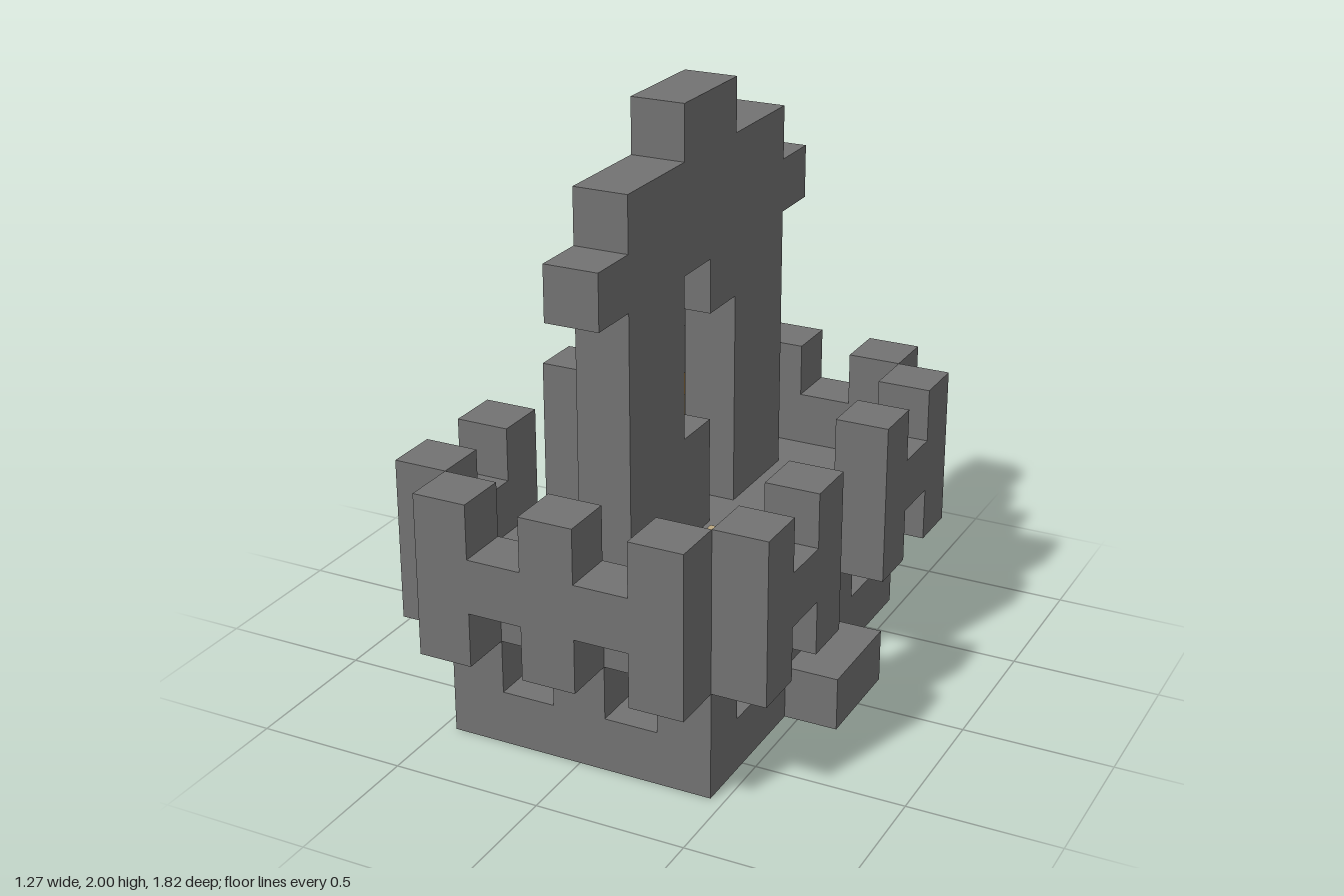
import * as THREE from 'three';

const U = 2 / 11; // one block

export function createModel() {
  const stone = new THREE.MeshStandardMaterial({ color: 0x727272 });
  stone.name = 'grey stone';
  const wood = new THREE.MeshStandardMaterial({ color: 0x906932 });
  wood.name = 'brown wood';
  const linen = new THREE.MeshStandardMaterial({ color: 0xbda983 });
  linen.name = 'tan linen';

  const model = new THREE.Group();
  model.name = 'blockFort';

  const add = (parent, name, geometry, material = stone) => {
    const mesh = new THREE.Mesh(geometry, material);
    mesh.name = name;
    parent.add(mesh);
    return mesh;
  };
  const group = (name) => {
    const g = new THREE.Group();
    g.name = name;
    model.add(g);
    return g;
  };
  // Box given by its ranges in blocks
  const box = (parent, name, [x0, x1], [y0, y1], [z0, z1], material) => {
    const mesh = add(parent, name, new THREE.BoxGeometry(x1 - x0, y1 - y0, z1 - z0), material);
    mesh.position.set((x0 + x1) / 2, (y0 + y1) / 2, (z0 + z1) / 2);
    return mesh;
  };
  // Outline extruded one block thick, centred on its plane
  const slab = (points) => {
    const shape = new THREE.Shape(points.map(([x, y]) => new THREE.Vector2(x, y)));
    return new THREE.ExtrudeGeometry(shape, { depth: 1, bevelEnabled: false }).translate(0, 0, -0.5);
  };

  // Base: bottom course, notched middle course, floor course with entrance steps
  const base = group('base');
  box(base, 'bottomCourse', [-2.5, 2.5], [0, 1], [-4, 4]);
  box(base, 'middleCore', [-1.5, 1.5], [1, 2], [-3, 3]);
  box(base, 'floor', [-1.5, 1.5], [2, 3], [-4, 4]);
  for (const s of [-1, 1]) {
    const span = (a, b) => (s > 0 ? [a, b] : [-b, -a]);
    box(base, 'endPier', [-0.5, 0.5], [1, 2], span(3, 4));
    box(base, 'sidePier', span(1.5, 2.5), [1, 2], [-2, 2]);
    box(base, 'entranceStep', span(2.5, 3.5), [0, 1], [-1, 1]);
    for (const z of [[-4, -3], [3, 4]]) box(base, 'cornerPier', span(1.5, 2.5), [1, 2], z);
    for (const z of [[-4, -1], [1, 4]]) box(base, 'floorSide', span(1.5, 2.5), [2, 3], z);
  }

  // Overhanging parapets: merlons joined by a middle course
  const parapet = (n) => {
    const top = [], bottom = [];
    for (let i = 0; i < n; i++) {
      const x = i - n / 2, merlon = i % 2 === 0;
      top.unshift([x + 1, merlon ? 5 : 4], [x, merlon ? 5 : 4]);
      bottom.push([x, merlon ? 2 : 3], [x + 1, merlon ? 2 : 3]);
    }
    return slab([...bottom, ...top]);
  };
  const parapets = group('parapets');
  const endWall = parapet(5), sideWall = parapet(3);
  for (const s of [-1, 1]) {
    add(parapets, s > 0 ? 'frontParapet' : 'backParapet', endWall).position.z = 4.5 * s;
    for (const z of [-2.5, 2.5]) {
      const wall = add(parapets, s > 0 ? 'leftParapet' : 'rightParapet', sideWall);
      wall.rotation.y = Math.PI / 2;
      wall.position.set(3 * s, 0, z);
    }
  }

  // Tower wall with a stepped crown and an offset doorway (outline runs along -z)
  const tower = slab([
    [-3, 3], [-1, 3], [0, 3], [0, 3], [0, 5], [-1, 5], [-1, 8], [0, 8], [0, 7], [1, 7], [1, 3], [3, 3],
    [3, 8], [4, 8], [4, 9], [3, 9], [3, 10], [1, 10], [1, 11],
    [-1, 11], [-1, 10], [-3, 10], [-3, 9], [-4, 9], [-4, 8], [-3, 8],
  ].filter(([x, y], i, a) => !i || x !== a[i - 1][0] || y !== a[i - 1][1]));
  add(model, 'towerWall', tower.rotateY(Math.PI / 2));

  // Two beds in opposite corners
  for (const s of [-1, 1]) {
    const bed = group(s > 0 ? 'frontBed' : 'backBed');
    const span = (a, b) => (s > 0 ? [a, b] : [-b, -a]);
    box(bed, 'bedHead', span(1.5, 2.5), [3, 4], span(3, 4), wood);
    box(bed, 'bedFoot', span(1.5, 2.5), [3, 4], span(2, 3), linen);
  }

  model.scale.setScalar(U);
  return model;
}
